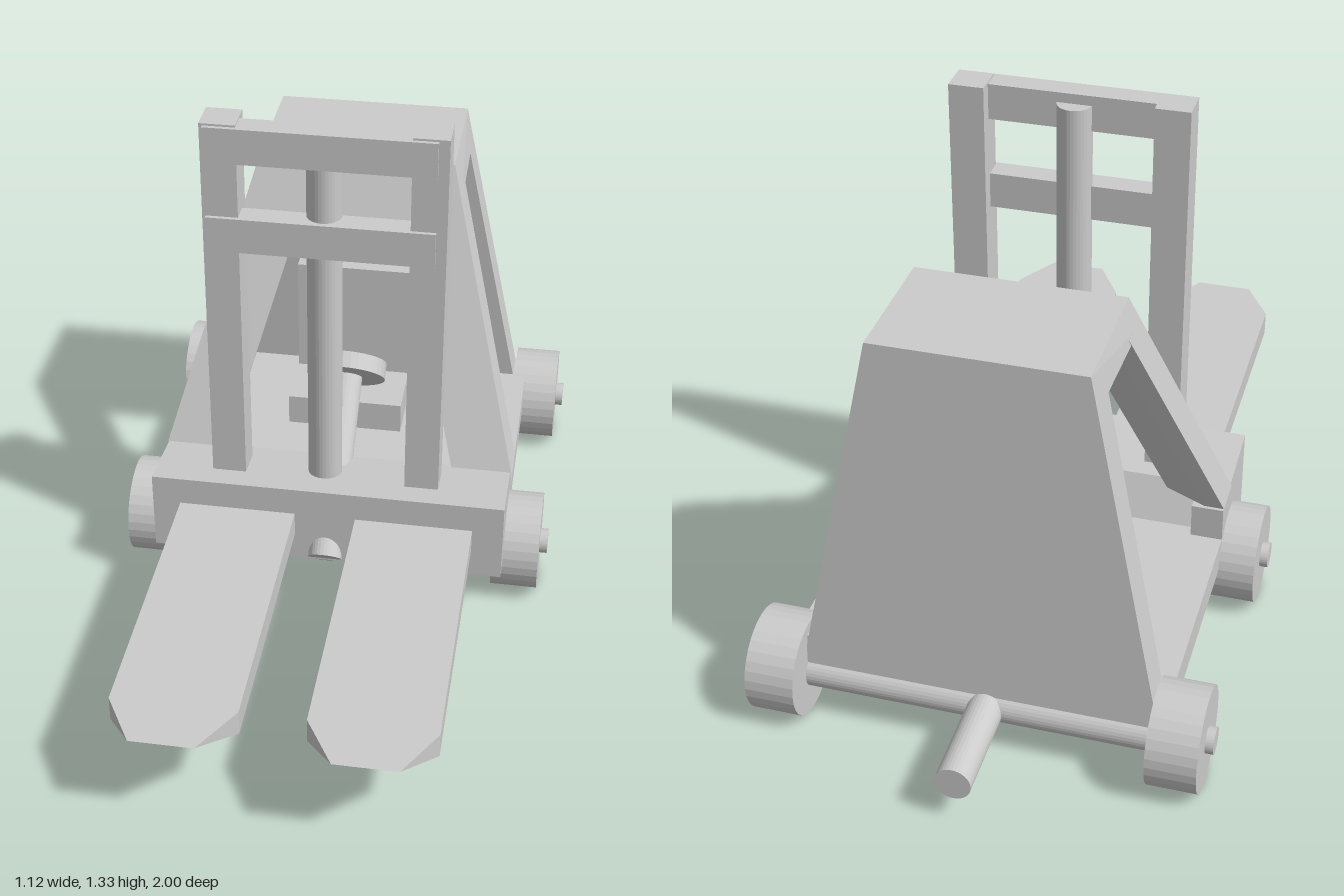
import * as THREE from 'three';
import { ConvexGeometry } from 'three/addons/geometries/ConvexGeometry.js';

const material = new THREE.MeshStandardMaterial({ color: 0xcccccc, flatShading: true });

export function createModel() {
  const model = new THREE.Group();

  const add = (name, geometry) => {
    const mesh = new THREE.Mesh(geometry, material);
    mesh.name = name;
    model.add(mesh);
    return mesh;
  };
  // Box given by its limits
  const box = (name, x0, x1, y0, y1, z0, z1) =>
    add(name, new THREE.BoxGeometry(x1 - x0, y1 - y0, z1 - z0))
      .position.set((x0 + x1) / 2, (y0 + y1) / 2, (z0 + z1) / 2);
  // Cylinder between two points
  const rod = (name, radius, from, to) => {
    const a = new THREE.Vector3(...from), b = new THREE.Vector3(...to);
    const dir = b.clone().sub(a);
    const mesh = add(name, new THREE.CylinderGeometry(radius, radius, dir.length(), 32));
    mesh.position.copy(a).add(b).multiplyScalar(0.5);
    mesh.quaternion.setFromUnitVectors(new THREE.Vector3(0, 1, 0), dir.normalize());
  };
  // Solid block spanned by its corners
  const hull = (name, points) =>
    add(name, new ConvexGeometry(points.map((p) => new THREE.Vector3(...p))));
  // Profile in (z, y), extruded across x
  const across = (name, profile, x0, x1) => {
    const shape = new THREE.Shape(profile.map(([z, y]) => new THREE.Vector2(-z, y)));
    const geometry = new THREE.ExtrudeGeometry(shape, { depth: x1 - x0, bevelEnabled: false });
    geometry.rotateY(Math.PI / 2).translate(x0, 0, 0);
    add(name, geometry);
  };

  // Wheels, axles and drawbar
  for (const z of [-0.035, -0.725]) {
    rod('axle', 0.043, [-0.43, 0.113, z], [0.43, 0.113, z]);
    for (const s of [-1, 1]) {
      rod('wheel', 0.125, [s * 0.42, 0.125, z], [s * 0.54, 0.125, z]);
      rod('hub', 0.032, [s * 0.5, 0.125, z], [s * 0.56, 0.125, z]);
    }
  }
  rod('drawbar', 0.043, [-0.02, 0.113, -1], [-0.02, 0.113, -0.035]);

  // Chassis
  box('floor', -0.45, 0.45, 0.145, 0.225, -0.74, -0.08);
  across('frontBlock', [[0.15, 0.14], [0.15, 0.355], [-0.05, 0.33], [-0.1, 0.225], [-0.1, 0.145]], -0.45, 0.45);

  // Outer cab corners at height y
  const front = (y) => {
    const t = (1.04 - y) / 0.7;
    return [0.25 + 0.2 * t, -0.36 + 0.315 * t];
  };
  const rear = (y) => {
    const t = (1.04 - y) / 0.89;
    return [0.25 + 0.18 * t, -0.69 - 0.06 * t];
  };

  // Cab front pillars
  for (const s of [-1, 1]) {
    const points = [];
    for (const y of [0.33, 0.97]) {
      const [x, z] = front(y);
      for (const [dx, dz] of [[0, 0], [0, -0.1], [0.05, -0.1], [0.155, -0.05], [0.155, 0]])
        points.push([s * (x - dx), y, z + dz]);
    }
    hull('frontPillar', points);
    box('pillarFoot', s > 0 ? 0.37 : -0.45, s > 0 ? 0.45 : -0.37, 0.2, 0.315, -0.13, -0.04);
  }

  // Cab back panel, roof and front header
  const back = [], roof = [], header = [];
  for (const s of [-1, 1]) {
    for (const y of [0.15, 0.97]) {
      const [x, z] = rear(y);
      back.push([s * x, y, z], [s * x, y, z + 0.088]);
    }
    for (const y of [0.955, 1.04])
      for (const [x, z] of [front(y), rear(y)]) roof.push([s * x, y, z]);
    for (const y of [0.89, 0.97]) {
      const [x, z] = front(y);
      header.push([s * (x - 0.1), y, z], [s * (x - 0.1), y, z - 0.06]);
    }
  }
  hull('backPanel', back);
  hull('roof', roof);
  hull('frontHeader', header);

  // Seat
  across('seat', [[-0.325, 0.1], [-0.325, 0.31], [-0.49, 0.31], [-0.49, 0.635], [-0.54, 0.635], [-0.54, 0.1]], -0.18, 0.13);

  // Steering
  rod('steeringColumn', 0.043, [-0.003, 0.15, 0.155], [-0.003, 0.48, -0.21]);
  rod('steeringWheel', 0.103, [-0.003, 0.475, -0.205], [-0.003, 0.505, -0.237]);

  // Mast
  for (const x of [-0.305, 0.19]) box('mastPost', x, x + 0.086, 0.3, 1.33, -0.005, 0.08);
  for (const y of [1, 1.235]) box('mastCrossbar', -0.297, 0.25, y, y + 0.09, 0.03, 0.09);
  rod('liftCylinder', 0.043, [-0.02, 0.3, 0.035], [-0.02, 1.3, 0.035]);

  // Forks with chamfered tips
  for (const x of [-0.23, 0.223]) {
    const points = [];
    for (const s of [-1, 1]) {
      for (const z of [0.1, 0.875])
        for (const y of [0.215, 0.28]) points.push([x + s * 0.149, y, z]);
      points.push([x + s * 0.075, 0.28, 1]);
    }
    hull('fork', points);
  }

  return model;
}
